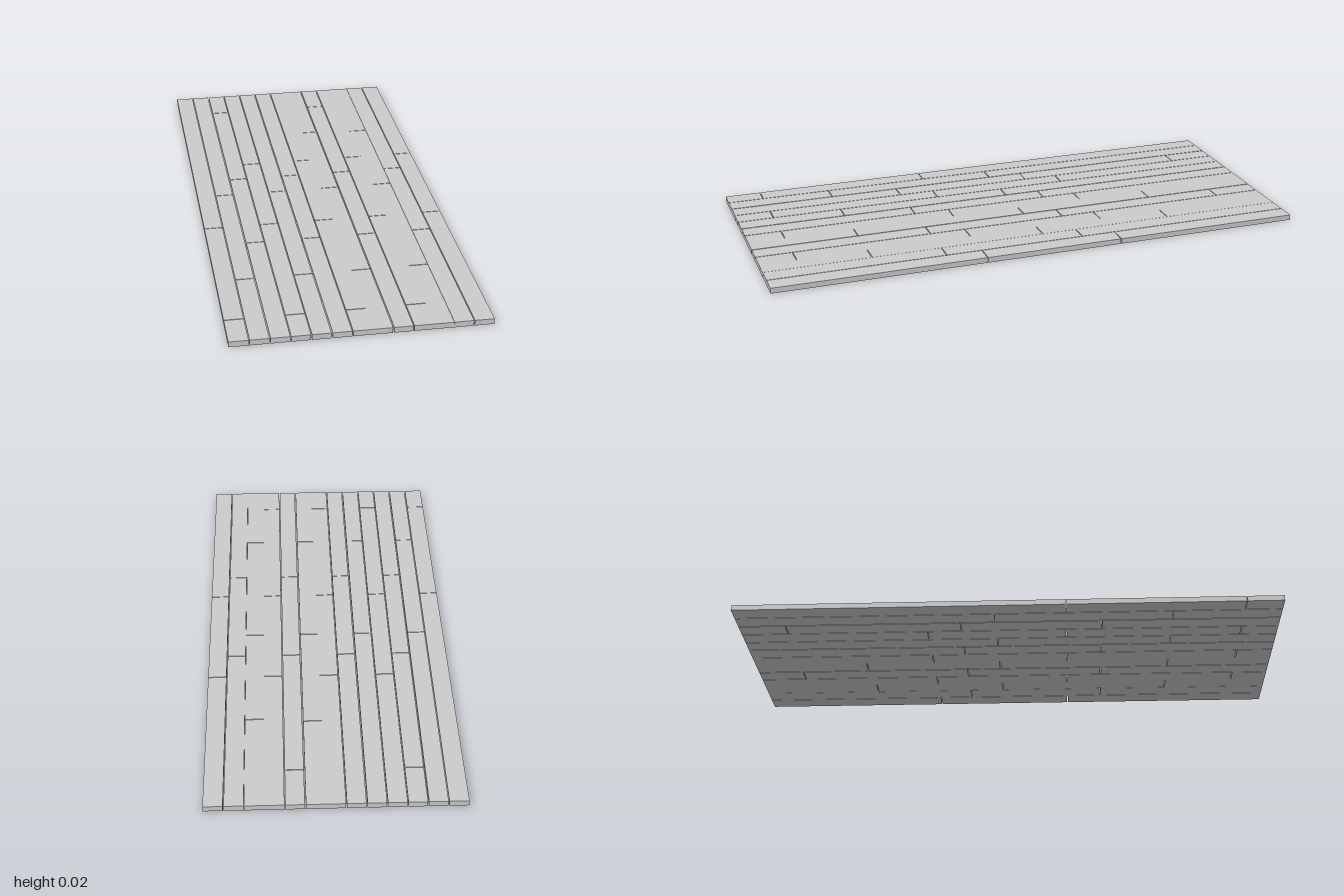
import * as THREE from 'three';

const THICKNESS = 0.02;
const HALF_WIDTH = 0.447;
const HALF_LENGTH = 1;
const JOINT_GAP = 0.003;

// Butt joints (z) along each row of boards, from right (-x) to left (+x)
const ROW_JOINTS = [
  [0.215, 0.865],
  [-0.045, 0.605],
  [-0.825, -0.175, 0.347],
  [-0.302, 0.215, 0.865],
  [-0.045, 0.605],
  [-0.175, 0.347],
  [-0.302, 0.215, 0.865],
  [-0.565, -0.045, 0.605],
  [-0.825, -0.175, 0.347],
  [-0.302, 0.215, 0.865],
  [-0.55, -0.045, 0.605],
  [-0.175, 0.347],
  [-0.302, 0.215],
];

// Width of the seam after each row; some rows are laid tight
const SEAM_GAPS = [0.003, 0.004, 0.003, 0.003, 0.004, 0.003, 0, 0.004, 0.003, 0, 0.001, 0.003];

export function createModel() {
  const floor = new THREE.Group();
  floor.name = 'plankFloor';
  const material = new THREE.MeshStandardMaterial({ color: 0xcccccc, flatShading: true });
  const pitch = (2 * HALF_WIDTH) / ROW_JOINTS.length;

  ROW_JOINTS.forEach((joints, i) => {
    const row = new THREE.Group();
    row.name = `boardRow${i + 1}`;
    const x0 = -HALF_WIDTH + i * pitch + (SEAM_GAPS[i - 1] ?? 0) / 2;
    const x1 = -HALF_WIDTH + (i + 1) * pitch - (SEAM_GAPS[i] ?? 0) / 2;

    // One board between each pair of neighbouring joints
    const ends = [-HALF_LENGTH, ...joints, HALF_LENGTH];
    for (let j = 0; j < ends.length - 1; j++) {
      const z0 = ends[j] + (j > 0 ? JOINT_GAP / 2 : 0);
      const z1 = ends[j + 1] - (j < ends.length - 2 ? JOINT_GAP / 2 : 0);
      const board = new THREE.Mesh(new THREE.BoxGeometry(x1 - x0, THICKNESS, z1 - z0), material);
      board.name = `board${j + 1}`;
      board.position.set((x0 + x1) / 2, THICKNESS / 2, (z0 + z1) / 2);
      row.add(board);
    }
    floor.add(row);
  });
  return floor;
}
